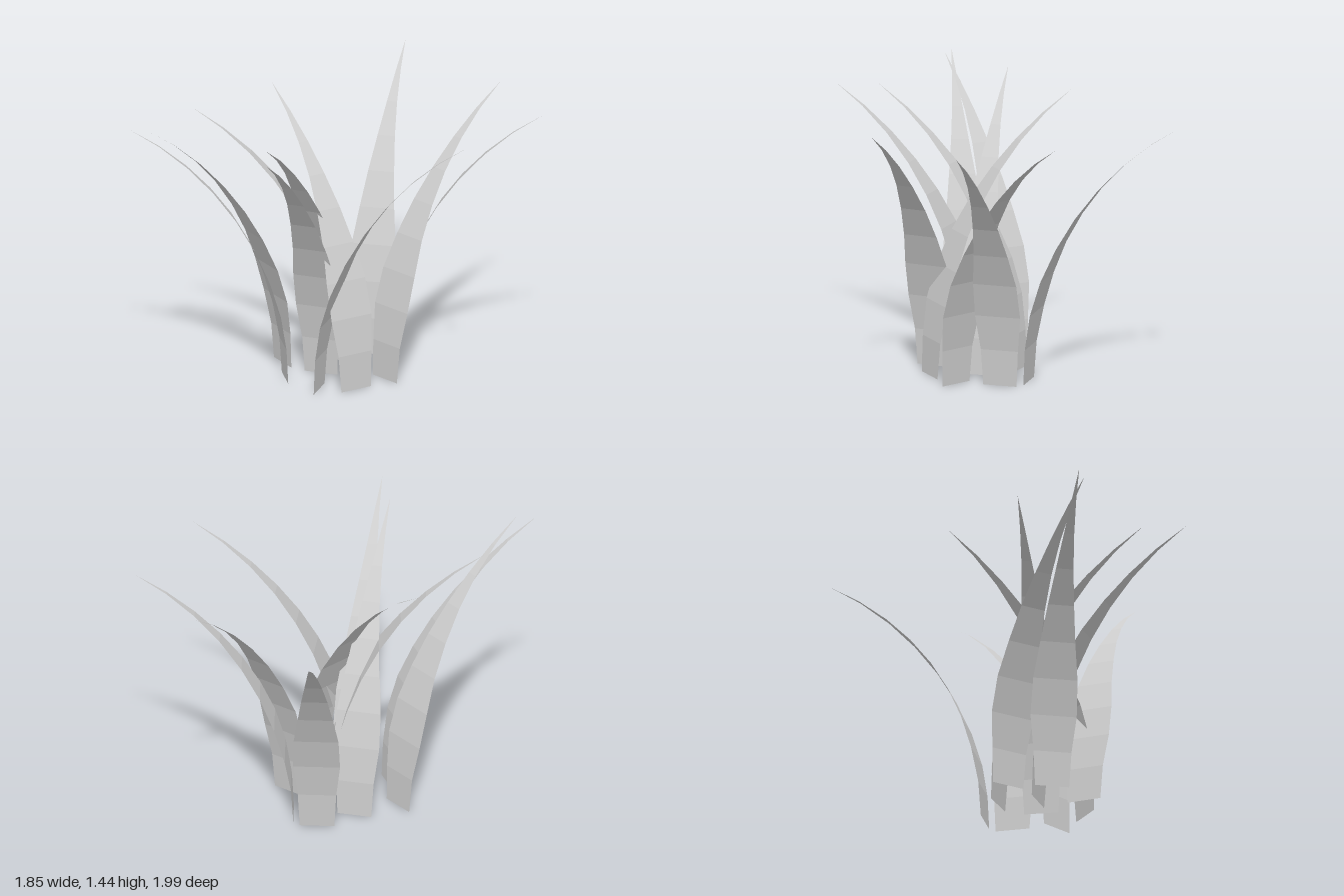
import * as THREE from 'three';

// Half width of a blade at each row from root to tip
const HALF = [0.09, 0.1, 0.122, 0.117, 0.092, 0.069, 0.046, 0.027, 0.012, 0];
const HEIGHT = 1.44;

// Flat ribbon that bends outwards along a circular arc (towards local +z)
function bladeGeometry(reach) {
  const rows = HALF.length - 1;
  const bend = 2 * Math.atan(reach / HEIGHT);
  const radius = HEIGHT / Math.sin(bend);
  const geo = new THREE.PlaneGeometry(2, 1, 1, rows);
  const pos = geo.attributes.position;
  for (let i = 0; i < pos.count; i++) {
    const row = Math.round((pos.getY(i) + 0.5) * rows);
    const a = (bend * row) / rows;
    pos.setXYZ(i, pos.getX(i) * HALF[row], radius * Math.sin(a), radius * (1 - Math.cos(a)));
  }
  geo.computeVertexNormals();
  return geo;
}

// Root x, z and tip x, z of every blade
const BLADES = [
  [-0.02, -0.19, -0.2, -1.0],
  [0.215, 0.11, 0.51, -0.665],
  [0.13, -0.105, 0.925, -0.31],
  [-0.03, 0.39, 0.78, 0.285],
  [-0.125, 0.17, -0.045, 0.99],
  [0.145, 0.31, -0.555, -0.135],
  [-0.178, -0.035, -0.143, 0.79],
  [-0.37, 0.12, -0.825, 0.79],
  [-0.26, 0.32, -0.925, 0.81],
  [0.015, 0.12, -0.77, 0.375],
];

export function createModel() {
  const model = new THREE.Group();
  model.name = 'grassTuft';
  const material = new THREE.MeshStandardMaterial({
    color: 0xcccccc, flatShading: true, side: THREE.DoubleSide,
  });
  BLADES.forEach(([x, z, tipX, tipZ], i) => {
    const dx = tipX - x, dz = tipZ - z;
    const blade = new THREE.Mesh(bladeGeometry(Math.hypot(dx, dz)), material);
    blade.name = `grassBlade${i + 1}`;
    blade.position.set(x, 0, z);
    blade.rotation.y = Math.atan2(dx, dz);
    model.add(blade);
  });
  return model;
}
